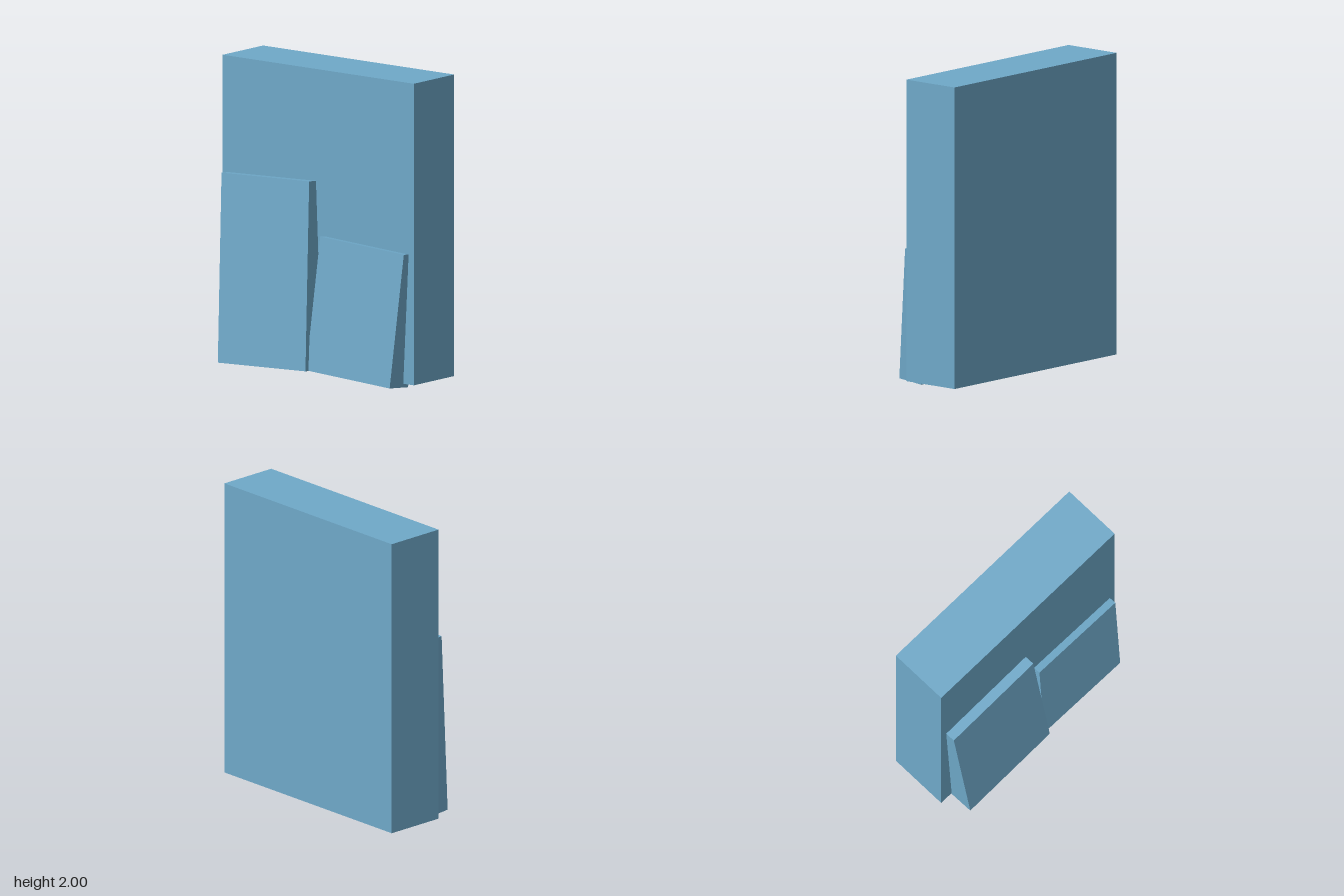
import * as THREE from 'three';

export function createModel() {
  const group = new THREE.Group();
  const blue = new THREE.MeshStandardMaterial({ color: 0x6fa9c9 });
  blue.name = 'softBlue';

  // Upright main slab
  const slab = new THREE.Mesh(new THREE.BoxGeometry(1.58, 1.97, 0.41), blue);
  slab.name = 'mainSlab';
  slab.position.set(0, 1.015, -0.085);
  group.add(slab);

  // Leaning panel, pivoting on the middle of its front bottom edge
  function addPanel(name, [w, h, d], [x, y, z], lean, roll) {
    const geometry = new THREE.BoxGeometry(w, h, d).translate(0, h / 2, -d / 2);
    const panel = new THREE.Mesh(geometry, blue);
    panel.name = name;
    panel.position.set(x, y, z);
    panel.rotation.set(-lean, 0, roll, 'ZYX');
    group.add(panel);
  }
  addPanel('tallPanel', [0.725, 1.225, 0.18], [-0.332, 0.04, 0.288], 0.081, 0.041);
  addPanel('shortPanel', [0.692, 0.871, 0.19], [0.356, 0.037, 0.258], 0.102, -0.052);

  return group;
}
